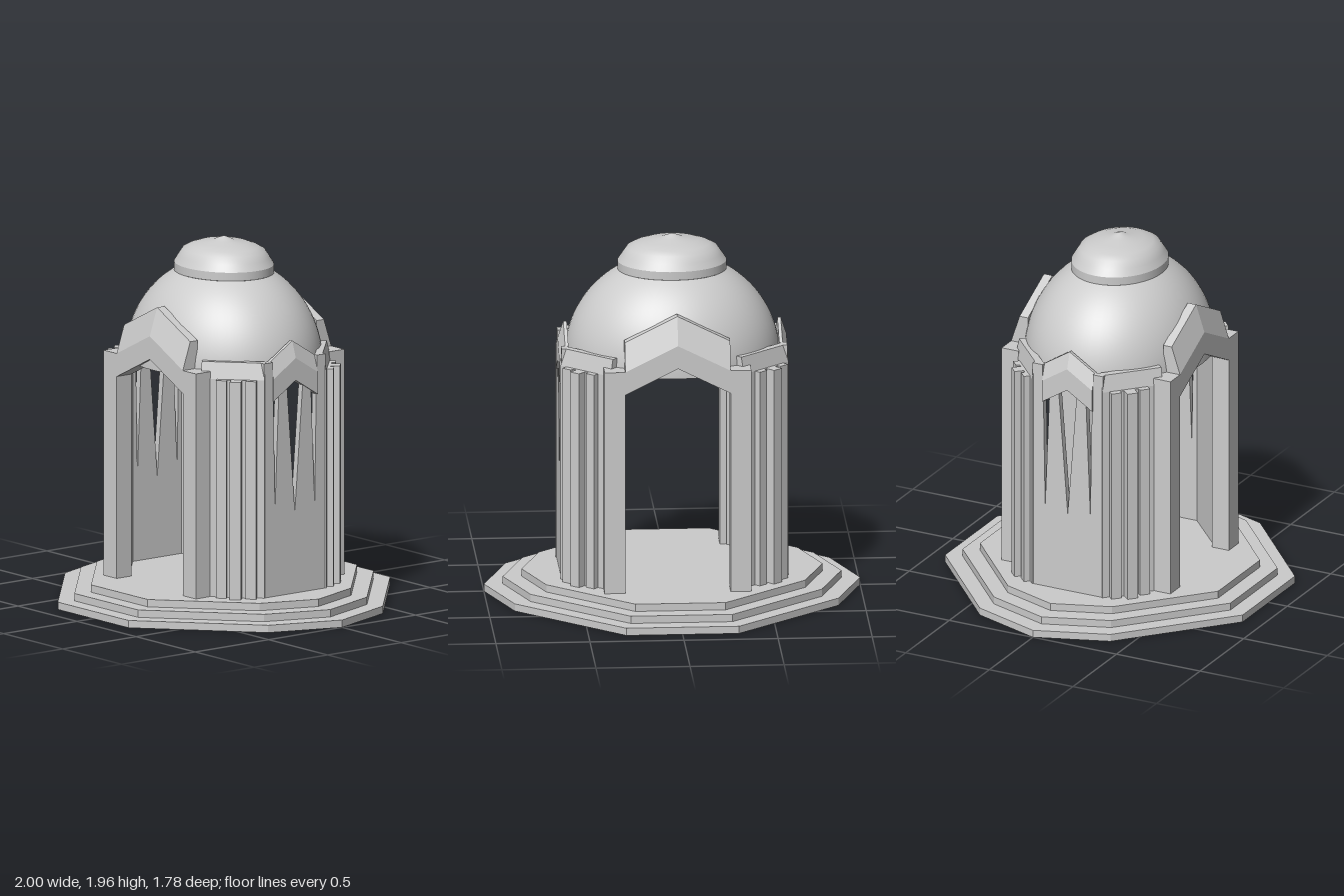
import * as THREE from 'three';

const flat = new THREE.MeshStandardMaterial({ color: 0xcccccc, flatShading: true, side: THREE.DoubleSide });
const smooth = new THREE.MeshStandardMaterial({ color: 0xcccccc, side: THREE.DoubleSide });

function add(parent, name, geometry, material = flat) {
  const mesh = new THREE.Mesh(geometry, material);
  mesh.name = name;
  parent.add(mesh);
  return mesh;
}

const polygon = (pts) => new THREE.Shape(pts.map(([x, y]) => new THREE.Vector2(x, y)));

// Box given by its limits on each axis
function block(x0, x1, y0, y1, z0, z1) {
  return new THREE.BoxGeometry(x1 - x0, y1 - y0, z1 - z0)
    .translate((x0 + x1) / 2, (y0 + y1) / 2, (z0 + z1) / 2);
}

// Profile of [outward z, y] points swept along x, lifted by rise at the middle
function beam(profile, halfWidth, rise = 0) {
  const g = new THREE.ExtrudeGeometry(polygon(profile), { depth: 2 * halfWidth, steps: 2, bevelEnabled: false });
  g.translate(0, 0, -halfWidth).rotateY(-Math.PI / 2);
  const p = g.attributes.position;
  for (let i = 0; i < p.count; i++) {
    p.setY(i, p.getY(i) + rise * (1 - Math.abs(p.getX(i)) / halfWidth));
  }
  g.computeVertexNormals();
  return g;
}

// Stepped ten-sided plinth
function addSteps(root) {
  const ring = [[1, 0], [0.86, 0.39], [0.3, 0.89], [-0.3, 0.89], [-0.86, 0.39],
    [-1, 0], [-0.86, -0.39], [-0.3, -0.89], [0.3, -0.89], [0.86, -0.39]];
  [1, 0.9, 0.8].forEach((s, i) => {
    const shape = polygon(ring.map(([x, z]) => [x * s, z * s]));
    const g = new THREE.ExtrudeGeometry(shape, { depth: 0.04, bevelEnabled: false });
    add(root, 'step' + (i + 1), g.rotateX(-Math.PI / 2).translate(0, i * 0.04, 0));
  });
}

// Open gabled portal with two piers, facing +z
function portal() {
  const group = new THREE.Group();
  group.name = 'portal';
  for (const s of [-1, 1]) {
    const x = s * 0.335;
    add(group, 'pier', block(x - 0.055, x + 0.055, 0.12, 1.34, 0.405, 0.505));
  }
  add(group, 'gableHood', beam(
    [[0.405, 1.215], [0.505, 1.215], [0.505, 1.34], [0.455, 1.49], [0.405, 1.49]], 0.28, 0.14));
  return group;
}

// Side wall with narrow pointed slots under a small gable, facing +z
function sideWall() {
  const group = new THREE.Group();
  group.name = 'sideWall';
  const wall = polygon([[-0.21, 0.12], [0.21, 0.12], [0.21, 1.39], [0.15, 1.39], [0.15, 1.32],
    [-0.15, 1.32], [-0.15, 1.39], [-0.21, 1.39]]);
  const slots = [
    [[0, 0.56], [0.053, 1.243], [0, 1.28], [-0.053, 1.243]],
    [[0.135, 0.58], [0.145, 1.18], [0.11, 1.205]],
    [[-0.135, 0.58], [-0.11, 1.205], [-0.145, 1.18]],
  ];
  for (const slot of slots) wall.holes.push(polygon(slot));
  const g = new THREE.ExtrudeGeometry(wall, { depth: 0.035, bevelEnabled: false });
  add(group, 'slottedWall', g.translate(0, 0, 0.565));
  add(group, 'sideGableHood', beam(
    [[0.56, 1.18], [0.608, 1.18], [0.608, 1.3], [0.578, 1.39], [0.56, 1.39]], 0.15, 0.095));
  return group;
}

// Diagonal corner wall with three ribs, facing +z before placement
function corner(side) {
  const group = new THREE.Group();
  group.name = 'corner';
  add(group, 'cornerWall', beam(
    [[-0.06, 0.12], [0, 0.12], [0, 1.3], [-0.02, 1.39], [-0.06, 1.39]], 0.17));
  for (const [t, half, out] of [[-0.08, 0.028, 0.035], [0, 0.03, 0.065], [0.08, 0.028, 0.035]]) {
    const x = t + side * 0.022;
    add(group, 'rib', block(x - half, x + half, 0.12, 1.3, -0.03, out));
  }
  add(group, 'ribBacking', block(side * 0.022 - 0.1, side * 0.022 + 0.1, 0.12, 1.3, -0.03, 0.014));
  return group;
}

// Oval dome with a rimmed cap
function addDome(root) {
  const curve = [];
  for (let i = 0; i <= 20; i++) {
    const a = (i / 20) * 1.04;
    curve.push(new THREE.Vector2(0.57 * Math.cos(a), 1.295 + 0.55 * Math.sin(a)));
  }
  const lathe = (pts) => new THREE.LatheGeometry(pts, 64).scale(1, 1, 0.86);
  const points = (pts) => pts.map(([x, y]) => new THREE.Vector2(x, y));
  add(root, 'dome', lathe(curve), smooth);
  add(root, 'capRim', lathe(points([[0.29, 1.77], [0.29, 1.815]])), smooth);
  add(root, 'capUnderside', lathe(points([[0.25, 1.77], [0.29, 1.77]])), smooth);
  add(root, 'cap', lathe(points([[0.29, 1.815], [0.265, 1.852], [0.24, 1.888], [0.2, 1.908],
    [0.14, 1.927], [0.065, 1.936], [0.035, 1.948], [0, 1.96]])), smooth);
}

export function createModel() {
  const root = new THREE.Group();
  root.name = 'pavilion';
  addSteps(root);
  for (const s of [0, 1]) {
    const p = portal();
    p.rotation.y = s * Math.PI;
    const w = sideWall();
    w.rotation.y = Math.PI / 2 + s * Math.PI;
    root.add(p, w);
  }
  for (const sx of [-1, 1]) {
    for (const sz of [-1, 1]) {
      const c = corner(sx * sz);
      c.position.set(sx * 0.48, 0, sz * 0.325);
      c.rotation.y = Math.atan2(sx * 0.23, sz * 0.25);
      root.add(c);
    }
  }
  addDome(root);
  return root;
}
